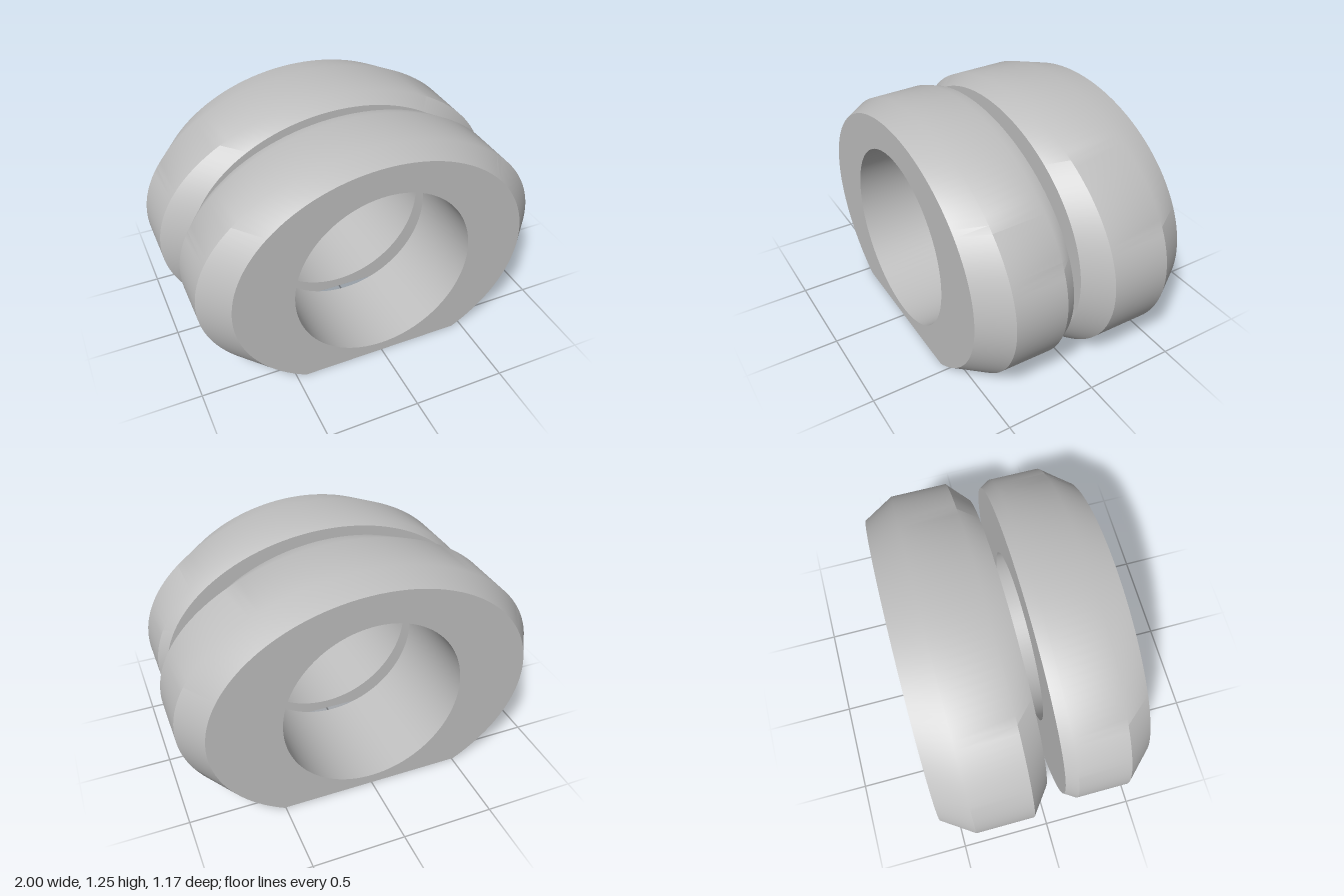
import * as THREE from 'three';
import { toCreasedNormals } from 'three/addons/utils/BufferGeometryUtils.js';

const CENTER_Y = 0.55;
const BORE = 0.495;
const STEPS = 96;

// Ellipse outline, cut off flat at y = 0
function outline(halfWidth, top) {
  const h = top - CENTER_Y;
  const cut = Math.asin(Math.min(1, CENTER_Y / h));
  const points = [];
  for (let i = 0; i <= STEPS; i++) {
    const t = -cut + (Math.PI + 2 * cut) * i / STEPS;
    points.push(new THREE.Vector2(halfWidth * Math.cos(t), Math.max(0, CENTER_Y + h * Math.sin(t))));
  }
  return points;
}

function circle() {
  const points = [];
  for (let i = 0; i < STEPS; i++) {
    const t = 2 * Math.PI * i / STEPS;
    points.push(new THREE.Vector2(BORE * Math.cos(t), CENTER_Y + BORE * Math.sin(t)));
  }
  return points;
}

// Closed skin through sections; front-to-back order faces outward, back-to-front inward
function loft(sections) {
  const positions = [];
  for (let s = 0; s < sections.length - 1; s++) {
    const a = sections[s], b = sections[s + 1], n = a.points.length;
    for (let j = 0; j < n; j++) {
      const k = (j + 1) % n;
      for (const [sec, i] of [[a, j], [b, j], [b, k], [a, j], [b, k], [a, k]]) {
        positions.push(sec.points[i].x, sec.points[i].y, sec.z);
      }
    }
  }
  const geometry = new THREE.BufferGeometry();
  geometry.setAttribute('position', new THREE.Float32BufferAttribute(positions, 3));
  return toCreasedNormals(geometry, Math.PI / 6);
}

// Flat end face with the round bore
function endFace(points) {
  const shape = new THREE.Shape(points);
  shape.holes.push(new THREE.Path(circle().reverse()));
  return new THREE.ShapeGeometry(shape);
}

// stations: [z, half width, top height], from front to back
function createRing(name, stations, material) {
  const ring = new THREE.Group();
  ring.name = name;
  const add = (part, geometry) => {
    const mesh = new THREE.Mesh(geometry, material);
    mesh.name = part;
    ring.add(mesh);
    return mesh;
  };
  const sections = stations.map(([z, w, top]) => ({ z, points: outline(w, top) }));
  const first = sections[0], last = sections[sections.length - 1];

  add('outerSkin', loft(sections));
  add('bore', loft([{ z: last.z, points: circle() }, { z: first.z, points: circle() }]));
  add('frontFace', endFace(first.points)).position.z = first.z;
  const back = add('backFace', endFace(last.points));
  back.rotation.y = Math.PI;
  back.position.z = last.z;
  return ring;
}

export function createModel() {
  const metal = new THREE.MeshStandardMaterial({ color: 0xc0c0c0 });
  metal.name = 'light grey';

  const model = new THREE.Group();
  model.name = 'flatBottomedRings';
  model.add(createRing('frontRing', [
    [0.587, 0.82, 1.208], [0.443, 0.96, 1.238], [0.157, 0.96, 1.245], [0.095, 0.92, 1.232],
  ], metal));
  model.add(createRing('backRing', [
    [0.01, 0.86, 1.22], [-0.095, 1.0, 1.25], [-0.415, 1.0, 1.255], [-0.587, 0.885, 1.222],
  ], metal));
  return model;
}
